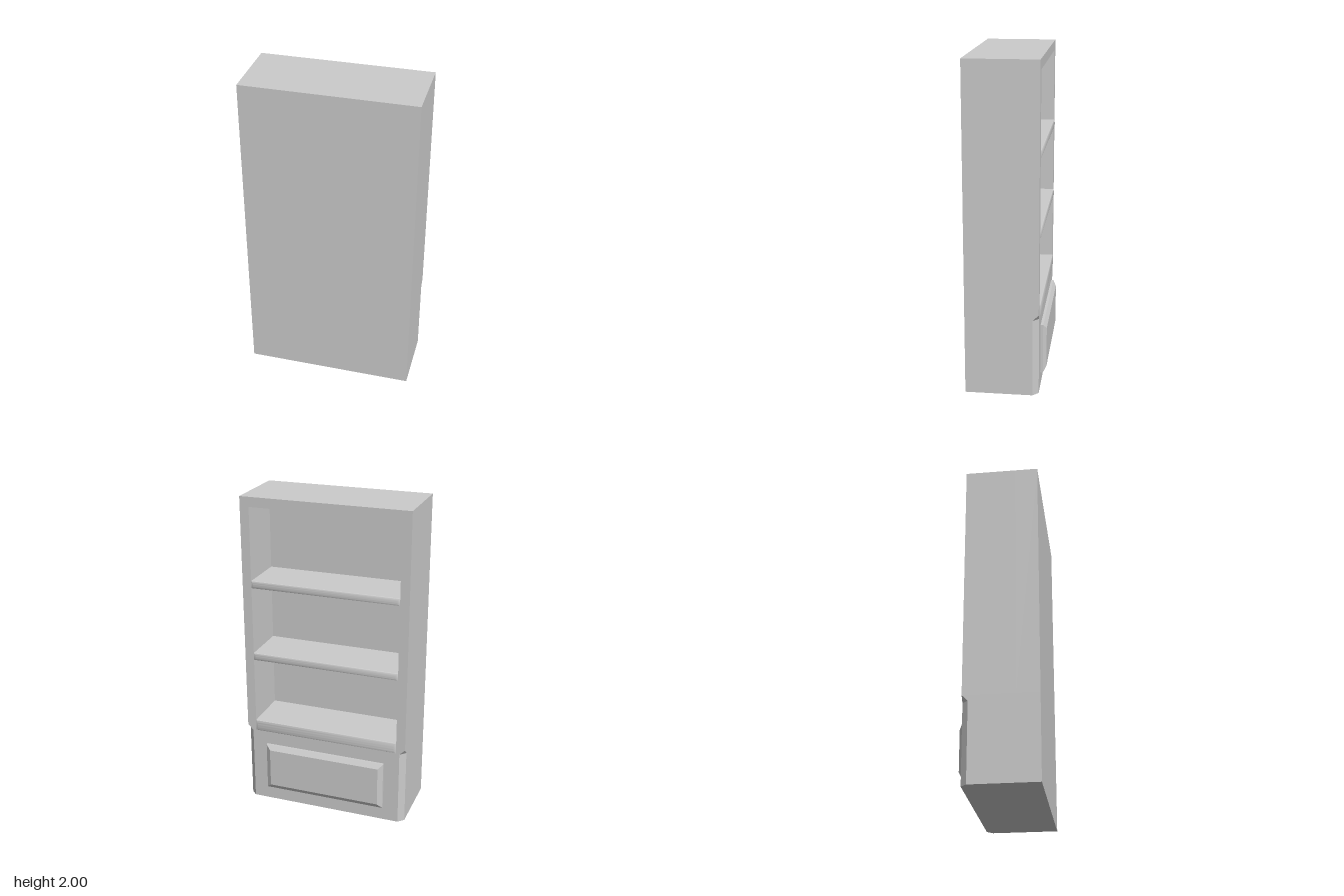
import * as THREE from 'three';
import { ConvexGeometry } from 'three/addons/geometries/ConvexGeometry.js';
import { toCreasedNormals } from 'three/addons/utils/BufferGeometryUtils.js';

const W = 0.522;       // half width
const FACE = -0.203;   // open shelf side
const WALL = 0.237;    // plain side
const INNER = 0.1;     // depth of the recesses
const CUT = 0.035;     // corner chamfer
const OPEN = 0.465;    // half width of the openings
const CHAMFER_TOP = 0.48;
const openings = [[0.555, 0.973], [1.018, 1.442], [1.487, 1.94]];

export function createModel() {
  const group = new THREE.Group();
  const material = new THREE.MeshStandardMaterial({ color: 0xcccccc });
  const add = (name, geometry) => {
    const mesh = new THREE.Mesh(geometry, material);
    mesh.name = name;
    group.add(mesh);
    return mesh;
  };

  // footprint at height y, with the two shelf-side corners cut
  const footprint = (y, cut) => [-1, 1].flatMap((s) => [
    new THREE.Vector3(s * W, y, WALL),
    new THREE.Vector3(s * W, y, FACE + cut),
    new THREE.Vector3(s * (W - cut), y, FACE),
  ]);

  // chamfered base and the short taper back to square corners
  const neckTop = CHAMFER_TOP + CUT;
  add('base', new ConvexGeometry([...footprint(0, CUT), ...footprint(CHAMFER_TOP, CUT)]));
  add('baseTaper', new ConvexGeometry([...footprint(CHAMFER_TOP, CUT), ...footprint(neckTop, 0)]));

  // frame with three shelf openings
  const rect = (Type, x, y0, y1) => new Type([
    new THREE.Vector2(-x, y0), new THREE.Vector2(x, y0),
    new THREE.Vector2(x, y1), new THREE.Vector2(-x, y1),
  ]);
  const frame = rect(THREE.Shape, W, neckTop, 2);
  for (const [y0, y1] of openings) frame.holes.push(rect(THREE.Path, OPEN, y0, y1));
  add('shelfFrame', new THREE.ExtrudeGeometry(frame, { depth: INNER - FACE, bevelEnabled: false })
    .translate(0, 0, FACE));

  // solid board closing the recesses
  add('backBoard', new THREE.BoxGeometry(2 * W, 2 - neckTop, WALL - INNER))
    .position.set(0, (2 + neckTop) / 2, (WALL + INNER) / 2);

  // rounded lips along the shelf edges, narrowing slightly at the ends
  const bulge = 0.008;
  const lip = (y0, y1) => {
    const profile = new THREE.Shape();
    for (let i = 0; i <= 12; i++) {
      const a = (i / 12) * Math.PI;
      const x = bulge * Math.sin(a);
      const y = (y0 + y1) / 2 - Math.cos(a) * (y1 - y0) / 2;
      if (i === 0) profile.moveTo(x, y);
      else profile.lineTo(x, y);
    }
    const geometry = new THREE.ExtrudeGeometry(profile, { depth: 2 * OPEN, bevelEnabled: false })
      .translate(0, 0, -OPEN).rotateY(Math.PI / 2);
    const p = geometry.attributes.position;
    for (let i = 0; i < p.count; i++) {
      const out = -p.getZ(i) / bulge;
      p.setX(i, p.getX(i) - Math.sign(p.getX(i)) * 0.015 * out);
    }
    return toCreasedNormals(geometry.translate(0, 0, FACE), 0.9);
  };
  add('upperShelfLip', lip(1.442, 1.487));
  add('middleShelfLip', lip(0.973, 1.018));
  add('lowerShelfLip', lip(0.485, 0.555));

  // raised panel with bevelled edges
  const panelRing = (inset, z) => [-1, 1].flatMap((s) => [
    new THREE.Vector3(s * (0.39 - inset), 0.09 + inset, z),
    new THREE.Vector3(s * (0.39 - inset), 0.4 - inset, z),
  ]);
  add('raisedPanel', new ConvexGeometry([
    ...panelRing(0, FACE), ...panelRing(0, -0.219), ...panelRing(0.03, -0.238),
  ]));

  return group;
}
